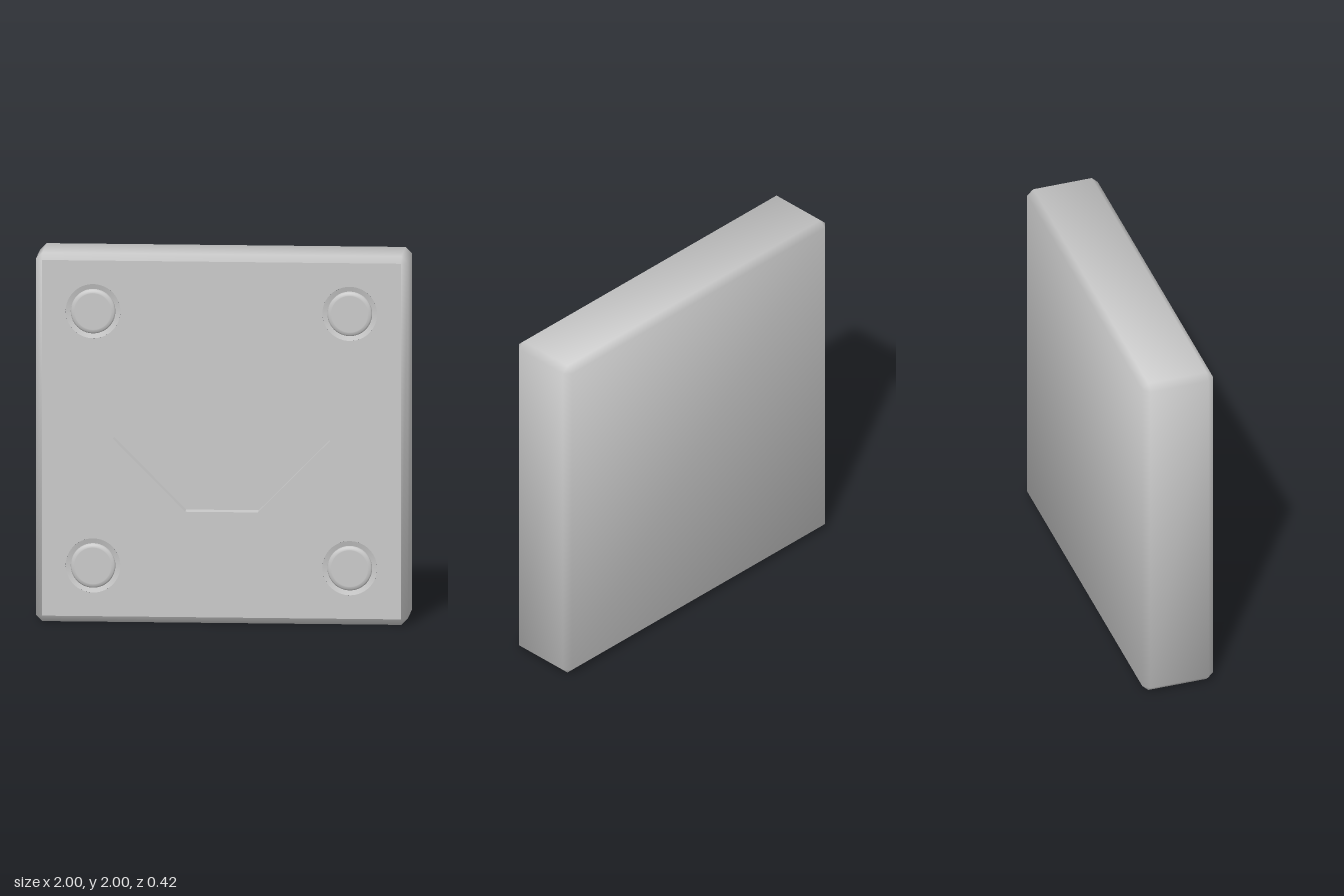
import * as THREE from 'three';

const H = 1, C = 0.035;              // half width, chamfer
const FRONT = 0.19, BACK = -0.21;    // faces of the slab
const STUD = 0.69, R_HOLE = 0.147, R_STUD = 0.12, SEG = 64;
const RECESS = 0.08;

// Quads between successive rings of points, as non-flat index triples.
function bandIndex(rings, n, inward) {
  const index = [];
  for (let r = 0; r < rings - 1; r++) {
    for (let i = 0; i < n; i++) {
      const j = (i + 1) % n;
      const a = r * n + i, b = r * n + j, c = a + n, d = b + n;
      if (inward) index.push(a, b, d, a, d, c);
      else index.push(a, d, b, a, c, d);
    }
  }
  return index;
}

// Chamfered sides and back, with normals blended softly across the edges.
function shellGeometry() {
  const k = H - C;
  const octagon = [[H, -k], [H, k], [k, H], [-k, H], [-H, k], [-H, -k], [-k, -H], [k, -H]];
  const clamp = (v) => Math.max(-k, Math.min(k, v));
  const rings = [[FRONT, true], [FRONT - C, false], [BACK + C, false], [BACK, true]];
  const positions = [], normals = [];
  const n = new THREE.Vector3();
  for (const [z, end] of rings) {
    for (const [x, y] of octagon) {
      positions.push(end ? clamp(x) : x, end ? clamp(y) : y, z);
      const endWeight = z === FRONT ? 1.65 : 2.5;
      n.set(
        Math.sign(x) * (!end && Math.abs(x) === H ? 2.5 : 1),
        Math.sign(y) * (!end && Math.abs(y) === H ? 2.5 : 1),
        (z > 0 ? 1 : -1) * (end ? endWeight : 1)
      ).normalize();
      normals.push(n.x, n.y, n.z);
    }
  }
  const index = bandIndex(4, 8, false);
  index.push(24, 28, 26, 24, 30, 28); // back
  const g = new THREE.BufferGeometry();
  g.setAttribute('position', new THREE.Float32BufferAttribute(positions, 3));
  g.setAttribute('normal', new THREE.Float32BufferAttribute(normals, 3));
  g.setIndex(index);
  return g;
}

function polygon(points) {
  return points.map(([x, y]) => new THREE.Vector2(x, y));
}

// Lathe profile turned so its axis points to the front.
function turned(profile) {
  return new THREE.LatheGeometry(polygon(profile), SEG).rotateX(Math.PI / 2);
}

export function createModel() {
  const grey = new THREE.MeshStandardMaterial({ color: 0xc8c8c8 });
  grey.name = 'light grey';
  const model = new THREE.Group();
  model.name = 'squarePlate';
  const add = (name, geometry, x = 0, y = 0, z = 0) => {
    const mesh = new THREE.Mesh(geometry, grey);
    mesh.name = name;
    mesh.position.set(x, y, z);
    model.add(mesh);
  };

  add('bodyShell', shellGeometry(), 0, H, 0);

  // Front face with the hexagon and four stud holes cut out
  const k = H - C;
  const hex = [[0.585, 0], [0.195, 0.393], [-0.195, 0.393], [-0.585, 0], [-0.195, -0.393], [0.195, -0.393]];
  const studs = [[-STUD, -STUD], [STUD, -STUD], [STUD, STUD], [-STUD, STUD]];
  const face = new THREE.Shape(polygon([[-k, -k], [k, -k], [k, k], [-k, k]]));
  face.holes.push(new THREE.Path(polygon(hex)));
  for (const [x, y] of studs) {
    face.holes.push(new THREE.Path().absarc(x, y, R_HOLE, 0, Math.PI * 2, false));
  }
  add('frontFace', new THREE.ShapeGeometry(face, SEG), 0, H, FRONT);

  // Hexagonal recess: walls facing inward and a floor
  const wall = new THREE.BufferGeometry();
  const points = [0, -RECESS].flatMap((z) => hex.flatMap(([x, y]) => [x, y, z]));
  wall.setAttribute('position', new THREE.Float32BufferAttribute(points, 3));
  wall.setIndex(bandIndex(2, 6, true));
  const flatWall = wall.toNonIndexed();
  flatWall.computeVertexNormals();
  add('recessWalls', flatWall, 0, H, FRONT);
  add('recessFloor', new THREE.ShapeGeometry(new THREE.Shape(polygon(hex))), 0, H, FRONT - RECESS);

  // Rounded studs, each in a shallow dished seat
  const seat = turned([[R_HOLE, 0], [R_STUD - 0.002, -0.008]]);
  const stud = turned([
    [R_STUD, -0.01], [R_STUD, 0.003], [0.118, 0.009], [0.112, 0.013],
    [0.102, 0.016], [0.098, 0.016], [0, 0.016],
  ]);
  for (const [x, y] of studs) {
    add('studSeat', seat, x, H + y, FRONT);
    add('stud', stud, x, H + y, FRONT);
  }
  return model;
}
